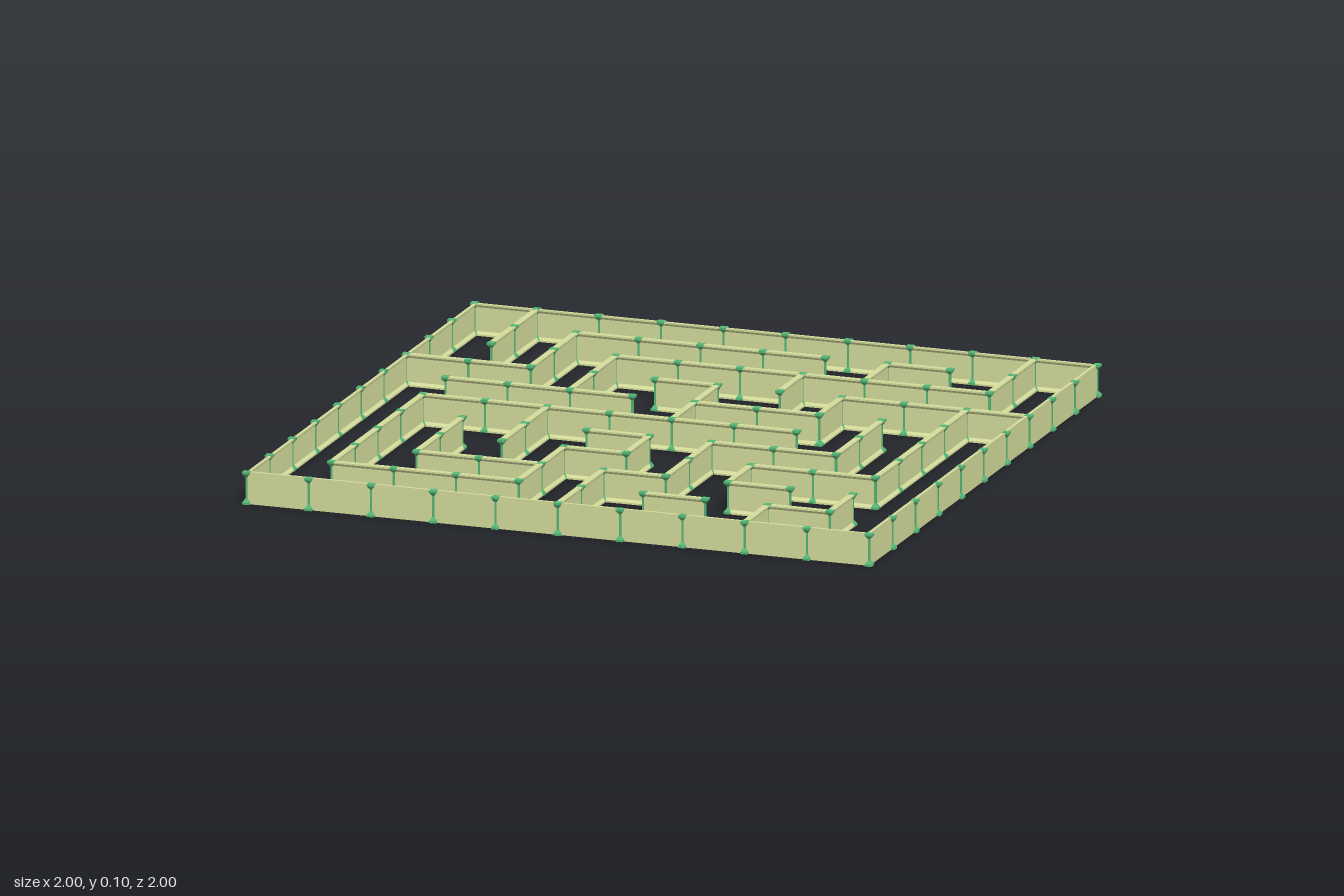
import * as THREE from 'three';

const HALF = 0.989, CELLS = 10, STEP = (2 * HALF) / CELLS, HEIGHT = 0.1;
const FLANGE = 0.0095, WEB = 0.0015, RIM = 0.005, COVE = 0.013;

// wall runs as [line, from, to] in grid units
const ROWS = [
  [1, 2, 6], [1, 7, 8], [2, 3, 9], [3, 0, 2], [3, 4, 5], [3, 7, 10], [4, 1, 4], [4, 5, 7],
  [5, 1, 7], [6, 4, 5], [6, 6, 8], [7, 4, 5], [7, 7, 9], [8, 2, 4], [8, 5, 6], [8, 7, 8],
  [9, 1, 4], [9, 6, 7], [9, 8, 9],
];
const COLUMNS = [
  [1, 0, 2], [1, 5, 9], [2, 1, 3], [2, 6, 8], [3, 2, 4], [3, 5, 7], [4, 7, 9], [5, 3, 5],
  [5, 6, 7], [5, 8, 10], [6, 2, 3], [6, 6, 8], [7, 1, 2], [7, 3, 4], [7, 7, 8], [8, 4, 6],
  [8, 9, 10], [9, 0, 2], [9, 3, 7], [9, 8, 9],
];

const at = (i) => -HALF + i * STEP;

// one side of the wall section: flared foot, thin web, flared cap
const side = [
  [FLANGE, 0], [FLANGE, RIM], [WEB, COVE],
  [WEB, HEIGHT - COVE], [FLANGE, HEIGHT - RIM], [FLANGE, HEIGHT],
];

function wallGeometry(length, bothSides) {
  const other = bothSides
    ? side.map(([x, y]) => [-x, y]).reverse()
    : [[0, HEIGHT], [0, 0]];
  const shape = new THREE.Shape([...side, ...other].map(([x, y]) => new THREE.Vector2(x, y)));
  return new THREE.ExtrudeGeometry(shape, { depth: length, bevelEnabled: false });
}

export function createModel() {
  const model = new THREE.Group();
  model.name = 'maze';
  const wallMaterial = new THREE.MeshStandardMaterial({ color: 0xd4dc9b, flatShading: true });
  const postMaterial = new THREE.MeshStandardMaterial({ color: 0x55b877, flatShading: true });

  // outer walls: flat outside, flanged inside
  const outer = wallGeometry(2 * HALF, false);
  for (let k = 0; k < 4; k++) {
    const turn = new THREE.Group();
    turn.name = 'outerWall';
    const wall = new THREE.Mesh(outer, wallMaterial);
    wall.name = 'outerWallPanel';
    wall.position.set(-HALF, 0, HALF);
    wall.rotation.y = Math.PI / 2;
    turn.rotation.y = (k * Math.PI) / 2;
    turn.add(wall);
    model.add(turn);
  }

  // inner walls
  const addWall = ([line, from, to], alongX) => {
    const wall = new THREE.Mesh(wallGeometry((to - from) * STEP, true), wallMaterial);
    wall.name = 'innerWall';
    if (alongX) {
      wall.rotation.y = Math.PI / 2;
      wall.position.set(at(from), 0, at(line));
    } else {
      wall.position.set(at(line), 0, at(from));
    }
    model.add(wall);
  };
  ROWS.forEach((run) => addWall(run, true));
  COLUMNS.forEach((run) => addWall(run, false));

  // square posts with flared ends on every grid point
  const cap = 0.011 * Math.SQRT2, rod = 0.003 * Math.SQRT2, top = HEIGHT + 0.0005;
  const profile = [
    [0, -0.0005], [cap, -0.0005], [cap, 0.006], [rod, 0.017],
    [rod, HEIGHT - 0.017], [cap, HEIGHT - 0.006], [cap, top], [0, top],
  ].map(([x, y]) => new THREE.Vector2(x, y + 0.0005));
  const postGeometry = new THREE.LatheGeometry(profile, 4, Math.PI / 4);
  for (let i = 0; i <= CELLS; i++) {
    for (let j = 0; j <= CELLS; j++) {
      const post = new THREE.Mesh(postGeometry, postMaterial);
      post.name = 'post';
      post.position.set(at(i), 0, at(j));
      model.add(post);
    }
  }
  return model;
}
